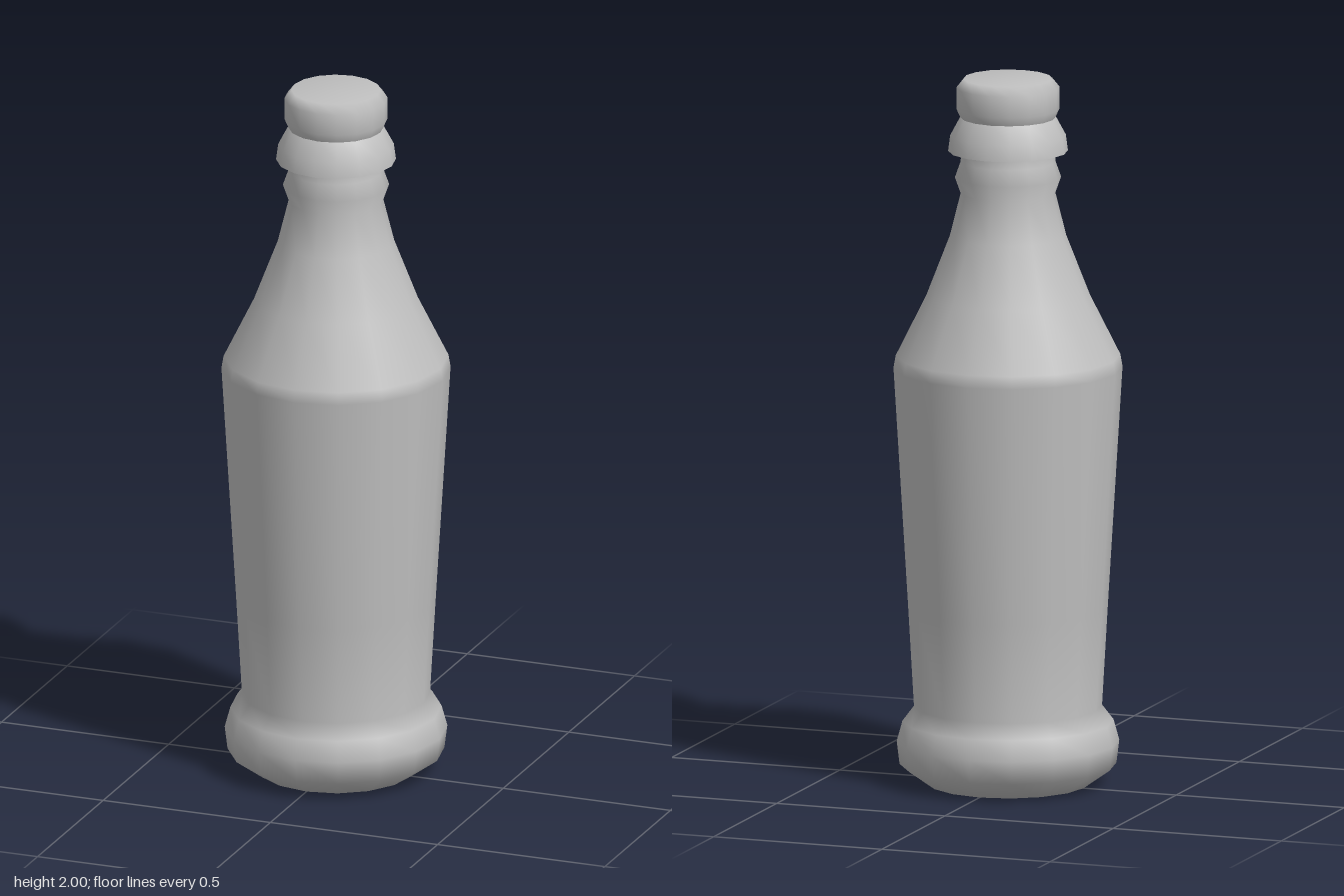
import * as THREE from 'three';

const SIDES = 16;

export function createModel() {
  const bottle = new THREE.Group();
  bottle.name = 'bottle';

  const grey = new THREE.MeshStandardMaterial({ color: 0xbfbfbf });
  grey.name = 'plain grey';

  // Turn a [radius, height] profile, listed from bottom to top, around the y axis
  const turn = (name, profile) => {
    const points = profile.map(([r, y]) => new THREE.Vector2(r, y));
    const mesh = new THREE.Mesh(new THREE.LatheGeometry(points, SIDES), grey);
    mesh.name = name;
    bottle.add(mesh);
  };

  // Rounded foot, tapered body, shoulder and beaded neck
  turn('body', [
    [0, 0], [0.225, 0], [0.302, 0.055], [0.31, 0.12], [0.294, 0.178], [0.262, 0.22],
    [0.278, 0.5], [0.319, 1.18], [0.313, 1.215], [0.228, 1.385], [0.162, 1.555],
    [0.132, 1.675], [0.148, 1.72], [0.132, 1.765], [0.13, 1.8],
  ]);

  // Overhanging collar below the cap, with a flat underside
  turn('collarUnderside', [[0.128, 1.795], [0.167, 1.795]]);
  turn('collar', [[0.167, 1.795], [0.161, 1.84], [0.134, 1.89], [0.125, 1.892]]);

  // Cap with a narrowed lower edge and a rounded top rim
  turn('cap', [[0.132, 1.888], [0.144, 1.915], [0.144, 1.975], [0.124, 2], [0, 2]]);

  return bottle;
}
